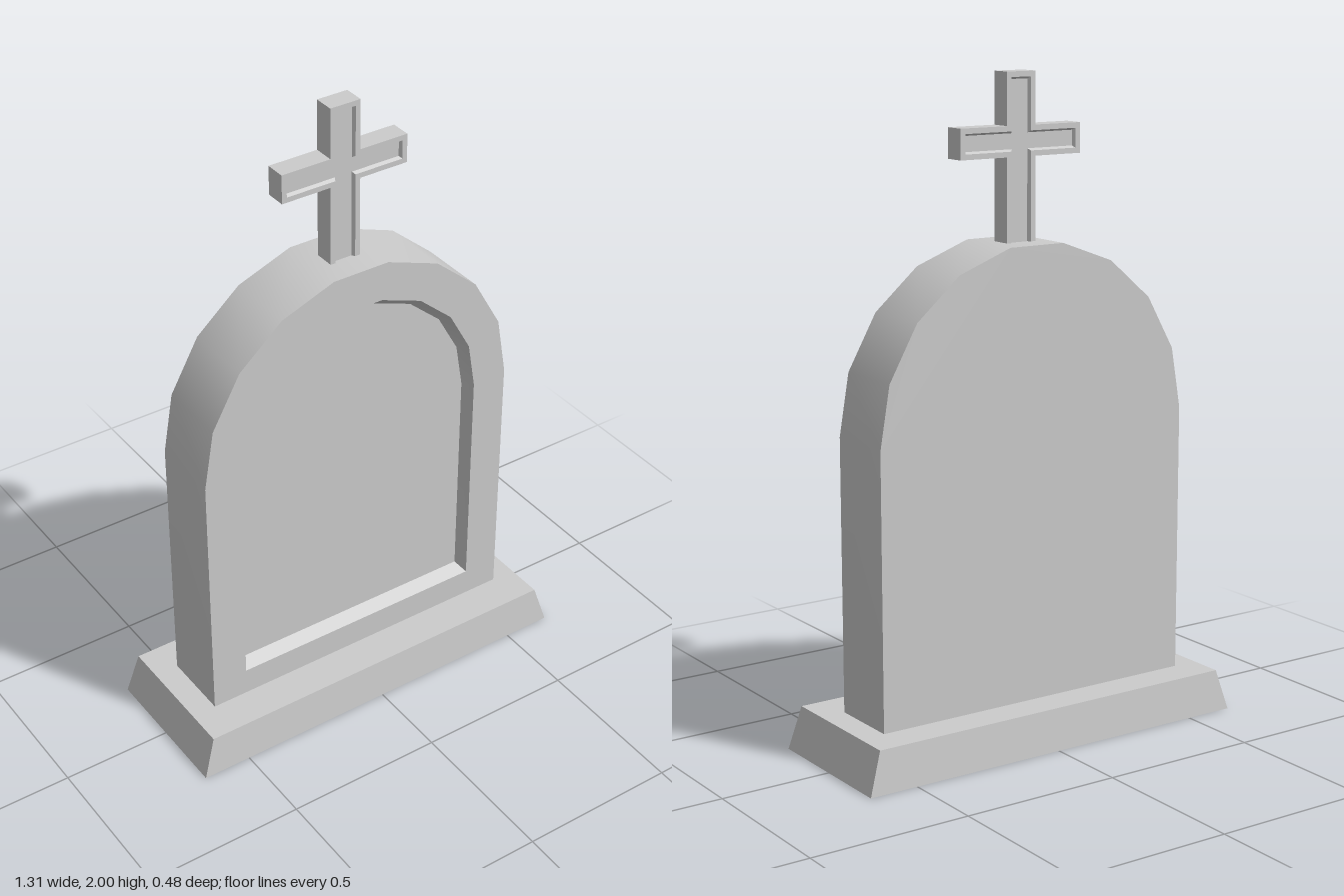
import * as THREE from 'three';
import { mergeGeometries, toCreasedNormals } from 'three/addons/utils/BufferGeometryUtils.js';

const material = new THREE.MeshStandardMaterial({ color: 0xcccccc });
const v2 = (x, y) => new THREE.Vector2(x, y);

// Counter-clockwise outline: straight sides under a nine-segment round arch
function archLoop(bottom, spring, rx, ry) {
  const pts = [v2(-rx, bottom), v2(rx, bottom)];
  for (let i = 0; i <= 9; i++) {
    const a = (i / 9) * Math.PI;
    pts.push(v2(rx * Math.cos(a), spring + ry * Math.sin(a)));
  }
  return pts;
}

// Counter-clockwise Latin cross, drawn in from its outer edges by "inset"
function crossLoop(inset) {
  const w = 0.05 - inset, arm = 0.21 - inset;
  const lo = 1.755 + inset, hi = 1.845 - inset, top = 2 - inset, bottom = 1.47;
  return [
    [-w, bottom], [w, bottom], [w, lo], [arm, lo], [arm, hi], [w, hi],
    [w, top], [-w, top], [-w, hi], [-arm, hi], [-arm, lo], [-w, lo],
  ].map(([x, y]) => v2(x, y));
}

function geometryFrom(positions) {
  const g = new THREE.BufferGeometry();
  g.setAttribute('position', new THREE.Float32BufferAttribute(positions, 3));
  return g;
}

// Wall joining two matching loops; faces outward when zB > zA, inward otherwise
function wall(a, zA, b, zB) {
  const pos = [];
  a.forEach((p, i) => {
    const j = (i + 1) % a.length, q = a[j], r = b[j], s = b[i];
    pos.push(p.x, p.y, zA, q.x, q.y, zA, r.x, r.y, zB);
    pos.push(p.x, p.y, zA, r.x, r.y, zB, s.x, s.y, zB);
  });
  return geometryFrom(pos);
}

// Flat face at depth z, facing front (dir 1) or back (dir -1), with an optional hole
function cap(loop, z, dir, hole) {
  const holes = hole ? [hole] : [];
  const all = hole ? loop.concat(hole) : loop;
  const pos = [];
  for (const tri of THREE.ShapeUtils.triangulateShape(loop, holes)) {
    const [a, b, c] = tri.map((i) => all[i]);
    const ccw = (b.x - a.x) * (c.y - a.y) - (b.y - a.y) * (c.x - a.x) > 0;
    const order = ccw === (dir > 0) ? [a, b, c] : [a, c, b];
    order.forEach((p) => pos.push(p.x, p.y, z));
  }
  return geometryFrom(pos);
}

// Slab with a bevelled recess sunk into its front and, if wanted, its back
function recessedSlab(name, { outer, opening, floor, back, front, depth, bothSides }) {
  const parts = [
    wall(outer, back, outer, front),
    cap(outer, front, 1, opening),
    wall(opening, front, floor, front - depth),
    cap(floor, front - depth, 1),
  ];
  if (bothSides) {
    parts.push(
      cap(outer, back, -1, opening),
      wall(floor, back + depth, opening, back),
      cap(floor, back + depth, -1),
    );
  } else {
    parts.push(cap(outer, back, -1));
  }
  const mesh = new THREE.Mesh(toCreasedNormals(mergeGeometries(parts), 0.6), material);
  mesh.name = name;
  return mesh;
}

export function createModel() {
  const group = new THREE.Group();
  group.name = 'gravestone';

  // Plinth with sloping sides
  let base = new THREE.BoxGeometry(1.31, 0.13, 0.476).toNonIndexed();
  base.translate(0, 0.065, 0);
  const p = base.attributes.position;
  for (let i = 0; i < p.count; i++) {
    if (p.getY(i) > 0.06) {
      p.setX(i, Math.sign(p.getX(i)) * 0.615);
      p.setZ(i, Math.sign(p.getZ(i)) * 0.225);
    }
  }
  base.computeVertexNormals();
  const plinth = new THREE.Mesh(base, material);
  plinth.name = 'plinth';
  group.add(plinth);

  // Arched headstone with a sunken front panel
  group.add(recessedSlab('headstone', {
    outer: archLoop(0.13, 0.965, 0.537, 0.549),
    opening: archLoop(0.218, 0.955, 0.421, 0.437),
    floor: archLoop(0.24, 0.943, 0.404, 0.418),
    back: -0.119, front: 0.106, depth: 0.04,
  }));

  // Cross on top, panelled on both faces
  group.add(recessedSlab('cross', {
    outer: crossLoop(0),
    opening: crossLoop(0.016).map((q) => v2(q.x, Math.max(q.y, 1.48))),
    floor: crossLoop(0.022).map((q) => v2(q.x, Math.max(q.y, 1.485))),
    back: -0.039, front: 0.026, depth: 0.01, bothSides: true,
  }));

  return group;
}
